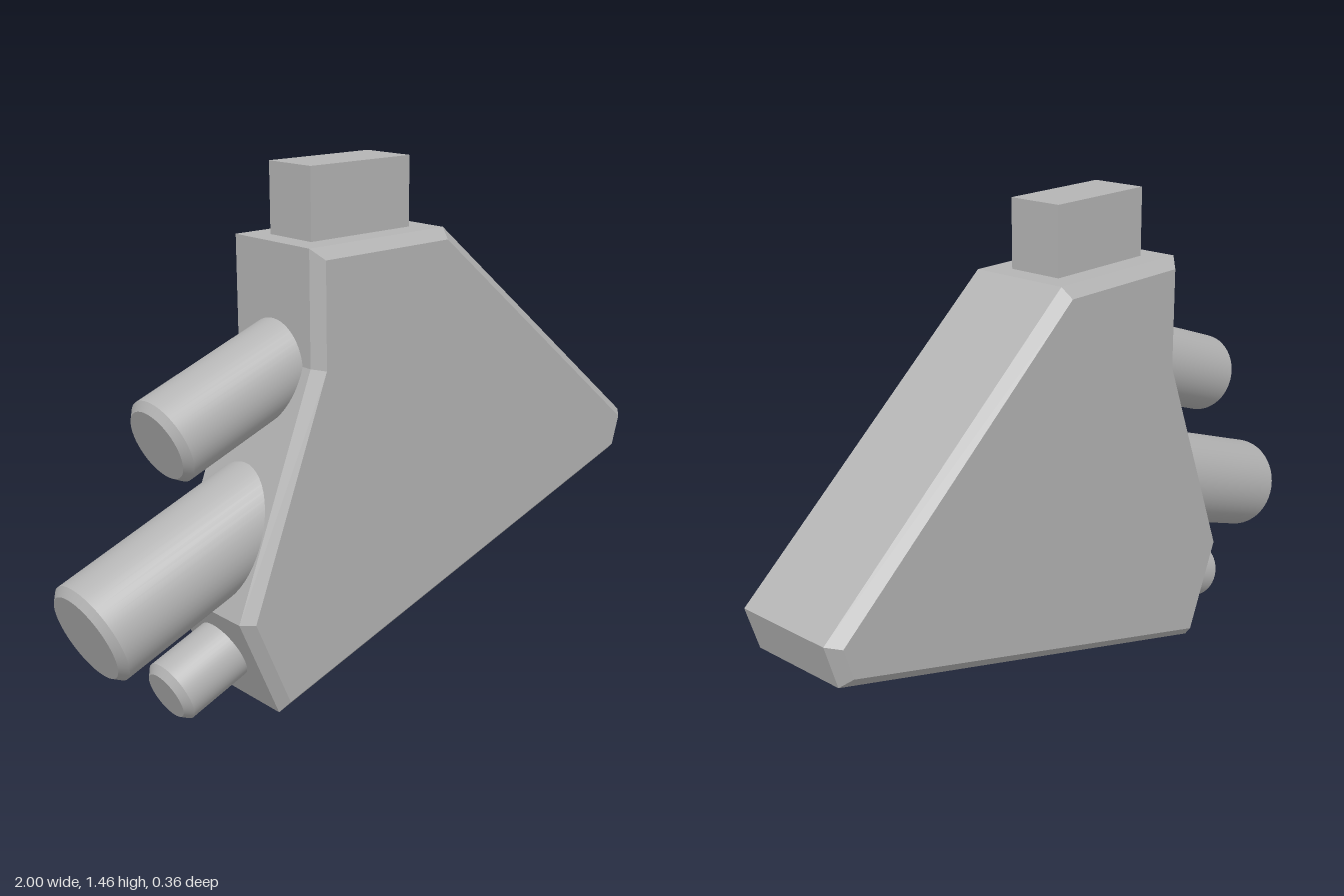
import * as THREE from 'three';

export function createModel() {
  const model = new THREE.Group();
  model.name = 'bodyWithPipes';
  const grey = new THREE.MeshStandardMaterial({ color: 0xb4b4b4 });
  grey.name = 'plain grey';

  const add = (name, geometry, parent = model) => {
    const mesh = new THREE.Mesh(geometry, grey);
    mesh.name = name;
    parent.add(mesh);
    return mesh;
  };

  // Bevelled slab: the outline is the outer rim, the bevel insets it on both faces
  const outline = [
    [-0.335, 1.265], [-0.335, 0.95], [-0.59, 0.305], [-0.463, 0.004],
    [0.96, 0.44], [0.997, 0.565], [0.15, 1.265],
  ];
  const shape = new THREE.Shape(outline.map(([x, y]) => new THREE.Vector2(x, y)));
  const slab = new THREE.ExtrudeGeometry(shape, {
    depth: 0.3, bevelEnabled: true, bevelSegments: 1,
    bevelSize: 0.03, bevelThickness: 0.03, bevelOffset: -0.03,
  });
  slab.translate(0, 0, -0.15);
  add('body', slab);

  // Rectangular block on top
  add('topBlock', new THREE.BoxGeometry(0.355, 0.2, 0.166)).position.set(-0.0925, 1.36, 0);

  // Slanted pipes with chamfered outer ends; (x, y) is the centre of the outer cap
  const chamfer = 0.02;
  function addPipe(name, x, y, radius, length) {
    const pipe = new THREE.Group();
    pipe.name = name;
    const tube = new THREE.CylinderGeometry(radius, radius, length - chamfer, 48, 1, true);
    tube.translate(0, -chamfer - (length - chamfer) / 2, 0);
    add(name + 'Tube', tube, pipe);
    const rim = new THREE.CylinderGeometry(radius - chamfer, radius, chamfer, 48, 1, true);
    rim.translate(0, -chamfer / 2, 0);
    add(name + 'Rim', rim, pipe);
    const cap = new THREE.CircleGeometry(radius - chamfer, 48);
    cap.rotateX(-Math.PI / 2);
    add(name + 'Cap', cap, pipe);
    pipe.position.set(x, y, 0);
    pipe.rotation.z = THREE.MathUtils.degToRad(110);
    model.add(pipe);
  }
  addPipe('upperPipe', -0.719, 0.793, 0.12, 0.56);
  addPipe('middlePipe', -0.957, 0.34, 0.145, 0.7);
  addPipe('lowerPipe', -0.726, 0.093, 0.09, 0.34);

  return model;
}
